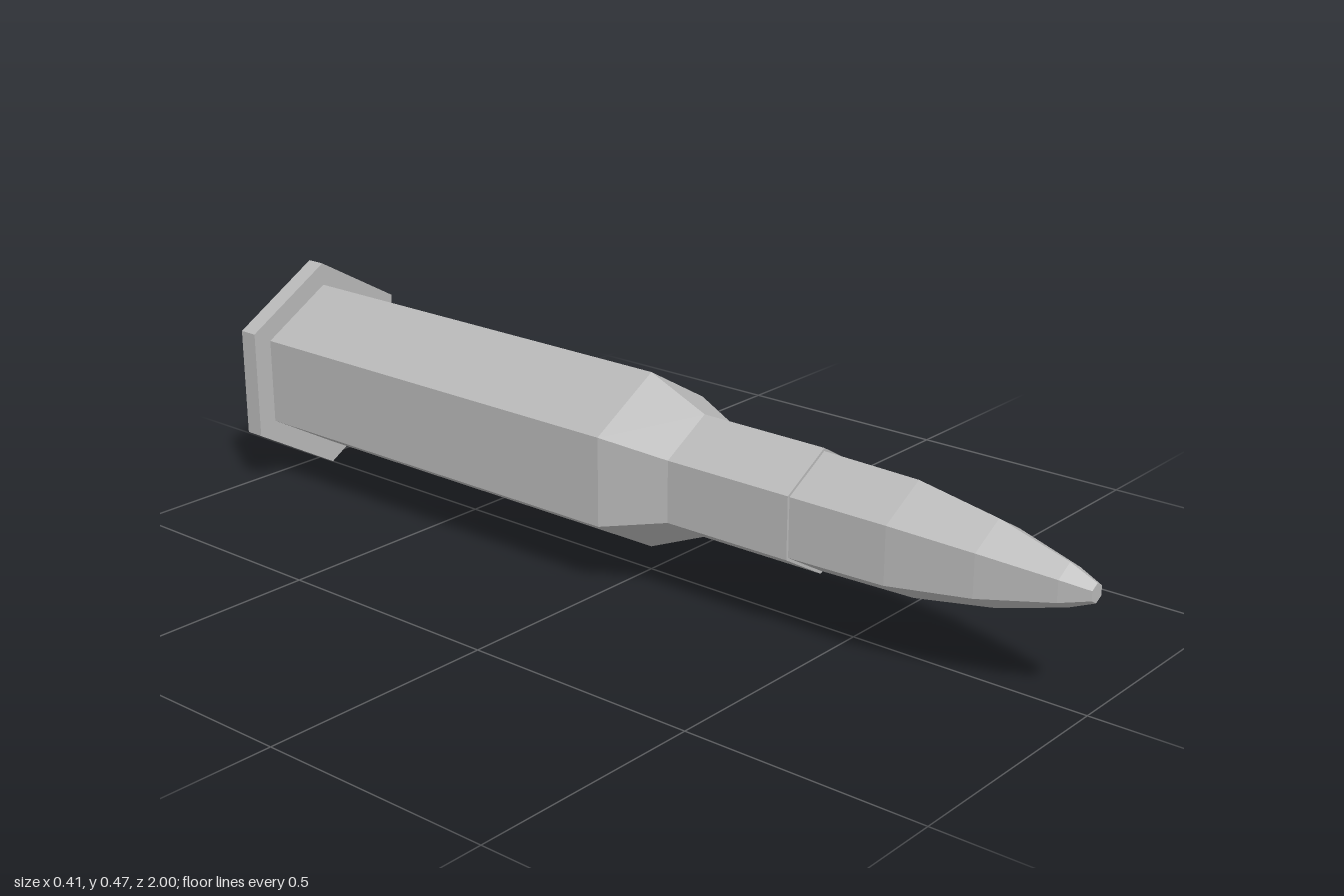
import * as THREE from 'three';

const CENTRE_Y = 0.235;

// Six-sided, flat-faced solid turned about the z axis; profile is [radius, z] from back to front.
function hexTurned(name, profile, material) {
  const points = profile.map(([r, z]) => new THREE.Vector2(r, z));
  const geometry = new THREE.LatheGeometry(points, 6).toNonIndexed();
  geometry.rotateX(Math.PI / 2);
  geometry.computeVertexNormals();
  const mesh = new THREE.Mesh(geometry, material);
  mesh.name = name;
  mesh.position.y = CENTRE_Y;
  return mesh;
}

export function createModel() {
  const group = new THREE.Group();
  group.name = 'cartridge';
  const metal = new THREE.MeshStandardMaterial({ color: 0xb8b8b8 });
  metal.name = 'grey metal';

  group.add(
    // Wide flange at the back
    hexTurned('rim', [[0, -0.999], [0.234, -0.999], [0.234, -0.957], [0, -0.957]], metal),
    // Thin cap set in the middle of the rim
    hexTurned('primer', [[0, -1], [0.108, -1], [0.108, -0.997], [0, -0.997]], metal),
    // Straight body, sloping shoulder and narrow neck
    hexTurned('case', [
      [0, -0.958], [0.185, -0.958], [0.185, 0], [0.128, 0.135], [0.127, 0.42], [0, 0.42],
    ], metal),
    // Tapered tip with a small flat nose
    hexTurned('bullet', [
      [0, 0.41], [0.121, 0.41], [0.116, 0.63], [0.086, 0.8], [0.043, 0.945], [0.019, 1], [0, 1],
    ], metal),
  );
  return group;
}
